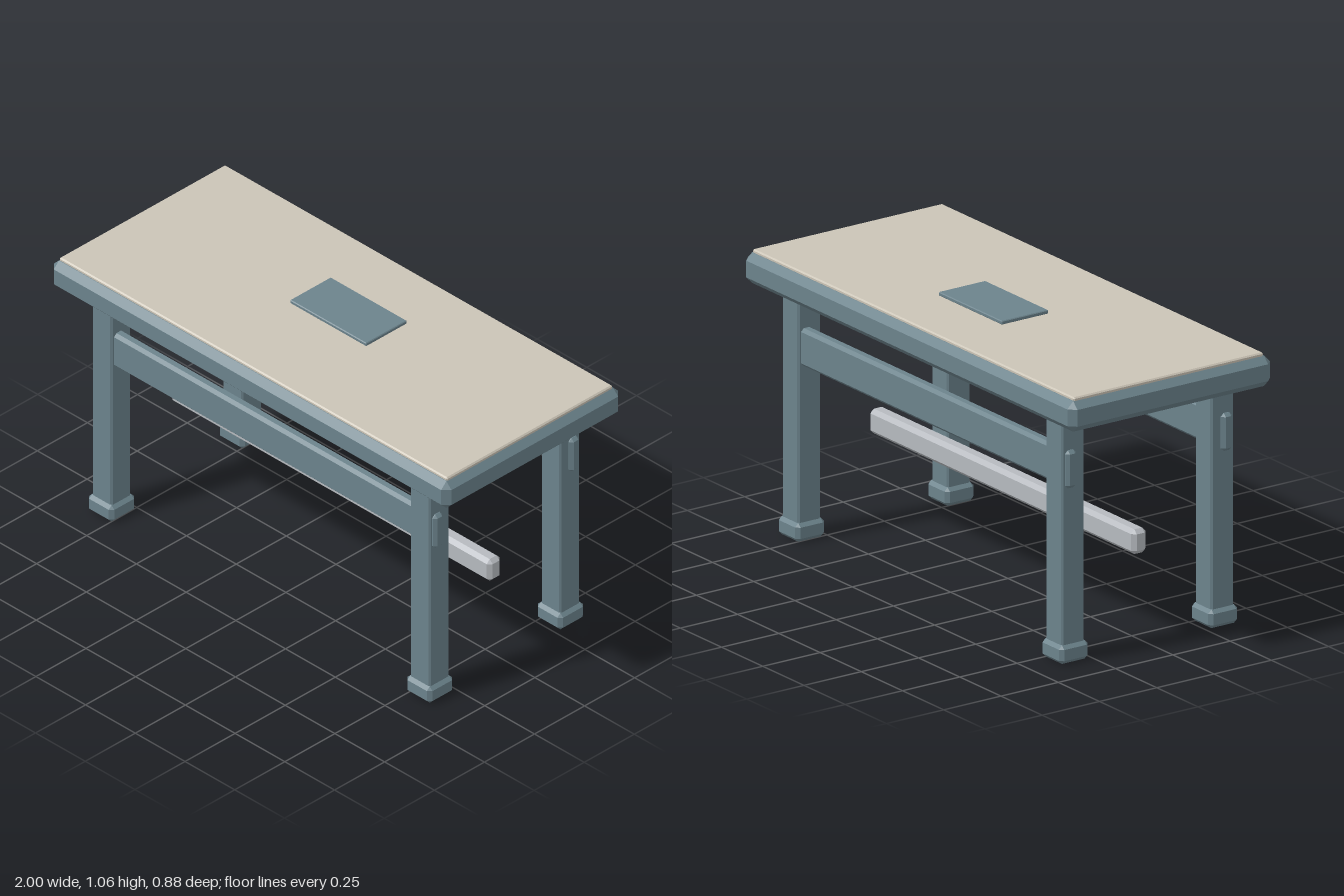
import * as THREE from 'three';
import { ConvexGeometry } from 'three/addons/geometries/ConvexGeometry.js';

// Box with every edge and corner cut off flat by c
function chamferBox(w, h, d, c) {
  const pts = [];
  for (const sx of [-1, 1]) for (const sy of [-1, 1]) for (const sz of [-1, 1]) {
    for (let full = 0; full < 3; full++) {
      pts.push(new THREE.Vector3(
        sx * (w / 2 - (full === 0 ? 0 : c)),
        sy * (h / 2 - (full === 1 ? 0 : c)),
        sz * (d / 2 - (full === 2 ? 0 : c))));
    }
  }
  return new ConvexGeometry(pts);
}

export function createModel() {
  const model = new THREE.Group();
  model.name = 'workTable';

  const paint = new THREE.MeshStandardMaterial({ color: 0x6c838c });
  paint.name = 'blueGreyPaint';
  const beige = new THREE.MeshStandardMaterial({ color: 0xcbc4b6 });
  beige.name = 'beigeSurface';
  const grey = new THREE.MeshStandardMaterial({ color: 0xb6babf });
  grey.name = 'lightGrey';

  // Adds a chamfered box spanning y0..y1
  function add(name, material, w, d, y0, y1, c, x = 0, z = 0) {
    const mesh = new THREE.Mesh(chamferBox(w, y1 - y0, d, c), material);
    mesh.name = name;
    mesh.position.set(x, (y0 + y1) / 2, z);
    model.add(mesh);
  }

  // Top, its inlaid surface and the small plate lying on it
  add('tableTop', paint, 2, 0.884, 0.917, 1.032, 0.026);
  add('topSurface', beige, 1.95, 0.828, 1.02, 1.044, 0.005);
  add('plate', paint, 0.384, 0.204, 1.043, 1.058, 0.003, -0.004, -0.066);

  // Legs with block feet
  for (const sx of [-1, 1]) for (const sz of [-1, 1]) {
    const end = (sz > 0 ? 'front' : 'back') + (sx > 0 ? 'Left' : 'Right');
    add(end + 'Leg', paint, 0.1, 0.1, 0.03, 1.0, 0.007, sx * 0.8, sz * 0.326);
    add(end + 'Foot', paint, 0.126, 0.126, 0, 0.07, 0.014, sx * 0.8, sz * 0.326);
  }

  // Long rails running through the legs
  add('frontRail', paint, 1.73, 0.047, 0.656, 0.798, 0.012, 0, 0.34);
  add('backRail', paint, 1.73, 0.047, 0.656, 0.798, 0.012, 0, -0.34);

  // Low central bar
  add('centreBar', grey, 1.61, 0.064, 0.322, 0.415, 0.015);

  return model;
}
